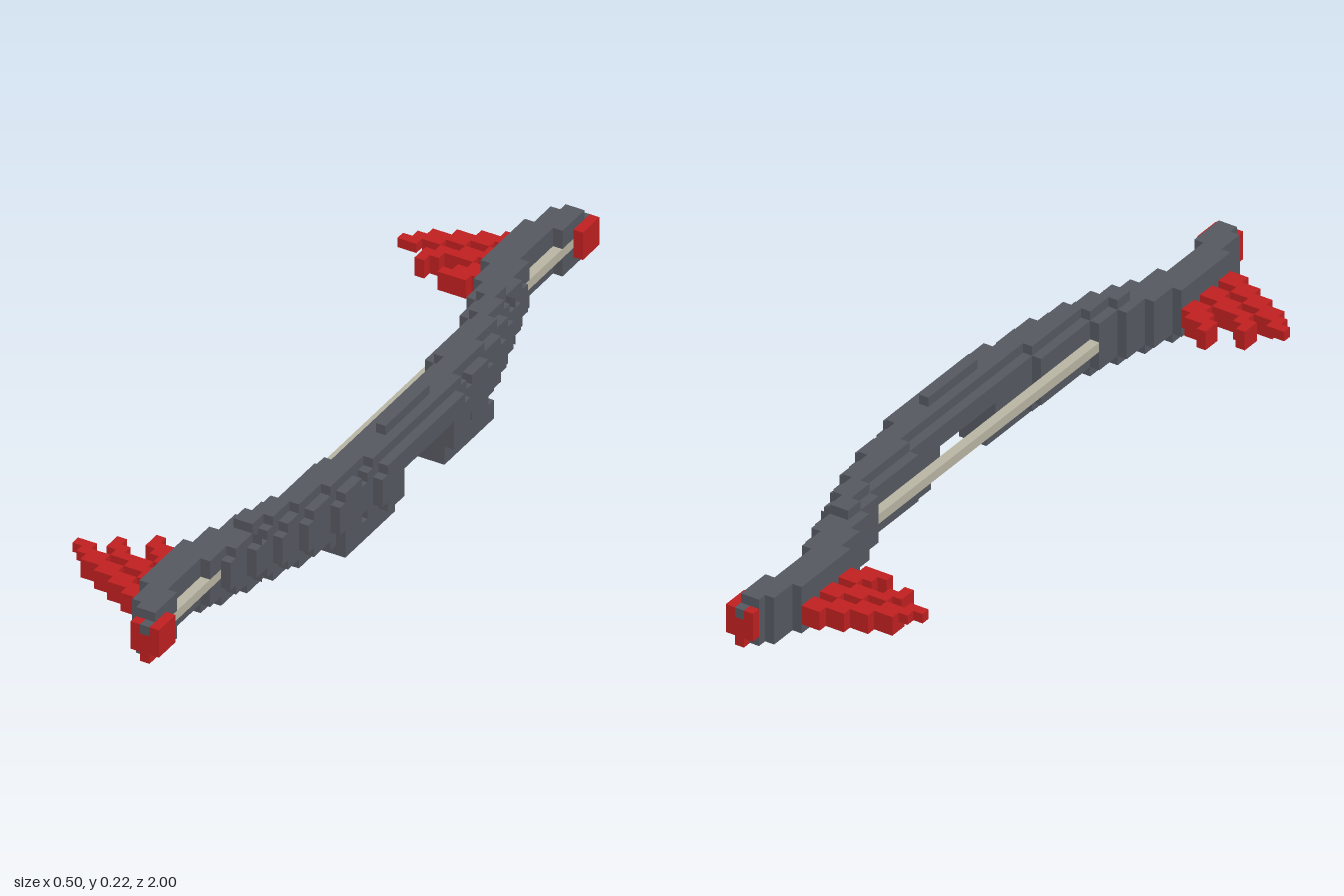
import * as THREE from 'three';
import { mergeGeometries } from 'three/addons/utils/BufferGeometryUtils.js';

const V = 0.025; // voxel size

export function createModel() {
  const group = new THREE.Group();
  const material = (name, color) => {
    const m = new THREE.MeshStandardMaterial({ color });
    m.name = name;
    return m;
  };
  const grey = material('slate grey', 0x555860);
  const red = material('red', 0xc02020);
  const cream = material('string cream', 0xb9b5a3);

  // Box from its limits
  const box = (x0, x1, y0, y1, z0, z1) =>
    new THREE.BoxGeometry(x1 - x0, y1 - y0, Math.abs(z1 - z0))
      .translate((x0 + x1) / 2, (y0 + y1) / 2, (z0 + z1) / 2);
  const add = (name, mat, boxes) => {
    const mesh = new THREE.Mesh(mergeGeometries(boxes), mat);
    mesh.name = name;
    group.add(mesh);
  };

  // Limb slices: distance range along z, inner x, outer x, core bottom, core top
  const slices = [
    [0.125, 0.2, 0.125, 0.25, 0.025, 0.2],
    [0.2, 0.25, 0.125, 0.225, 0.025, 0.2],
    [0.25, 0.35, 0.1, 0.225, 0.025, 0.2],
    [0.35, 0.45, 0.1, 0.2, 0.025, 0.2],
    [0.45, 0.525, 0.075, 0.175, 0.025, 0.2],
    [0.525, 0.575, 0.05, 0.15, 0.025, 0.2],
    [0.575, 0.6, 0.05, 0.15, 0.025, 0.175],
    [0.6, 0.675, 0.025, 0.125, 0.025, 0.175],
    [0.675, 0.725, 0, 0.1, 0.025, 0.175],
    [0.725, 0.825, 0, 0.075, 0.025, 0.175],
    [0.825, 0.875, 0, 0.075, 0.05, 0.175],
    [0.875, 0.95, 0.025, 0.1, 0.05, 0.175],
    [0.95, 0.975, 0.05, 0.1, 0.05, 0.175],
  ];

  // Feather rows: start z, then the voxel span outward from the limb
  const feathers = [
    [0.85, 0, 2], [0.825, 0, 4], [0.8, 2, 6], [0.775, 4, 8], [0.75, 6, 9], [0.725, 8, 10],
    [0.775, 0, 2], [0.75, 0, 4], [0.725, 2, 6], [0.7, 5, 7], [0.675, 6, 7],
    [0.7, 0, 2], [0.675, 0, 3], [0.65, 1, 4],
  ];

  for (const s of [1, -1]) {
    const side = s > 0 ? 'front' : 'back';
    const limb = [], tip = [], wing = [];
    slices.forEach(([a, z1, xi, xo, y0, y1], i) => {
      const z0 = i === 0 && s > 0 ? 0.1 : a;
      const put = (x0, x1, b, t, from = z0, to = z1) => limb.push(box(x0, x1, b, t, s * from, s * to));
      // Full height core, then shallower inner and outer columns
      put(xi + V, xo - V, y0, y1);
      put(xi, xi + V, 0.05, Math.min(y1, 0.175));
      if (a === 0.675 || a === 0.875) {
        // Slot around the string
        put(xo - V, xo, 0.05, 0.1);
        put(xo - V, xo, 0.125, 0.175);
        if (a === 0.875) put(xo - V, xo, 0.1, 0.125, 0.925, z1);
      } else if (xo > 0.12) {
        put(xo - V, xo, 0.05, 0.175, z0, z1 - V);
        if (z1 - V > z0 + 0.001 || i === 6) put(xo - V, xo, 0.075, 0.15, z1 - V, z1);
      } else {
        put(xo - V, xo, 0.05, 0.175);
      }
    });
    // Keel beside the grip opening
    limb.push(box(0.15, 0.225, 0, 0.05, s > 0 ? 0.1 : -0.125, s > 0 ? 0.325 : -0.35));
    // Nock inside the tip notch
    limb.push(box(0.075, 0.1, 0.125, 0.15, s * 0.975, s));
    add(side + 'Limb', grey, limb);

    tip.push(box(0.05, 0.075, 0.075, 0.15, s * 0.975, s));
    tip.push(box(0.075, 0.1, 0.05, 0.125, s * 0.975, s));
    tip.push(box(0.1, 0.125, 0.075, 0.15, s * 0.925, s));
    add(side + 'Tip', red, tip);

    for (const [z, n0, n1] of feathers) {
      wing.push(box(-n1 * V, -n0 * V, 0.1, 0.125, s * z, s * (z + V)));
      const end = Math.min(n1, 8);
      if (end > n0) wing.push(box(-end * V, -n0 * V, 0.075, 0.1, s * z, s * (z + V)));
    }
    if (s > 0) wing.push(box(-0.1, -0.075, 0.075, 0.125, 0.625, 0.65));
    add(side + 'Feathers', red, wing);

    // String running through the limb slot
    add(side + 'StringEnd', cream, [box(0.075, 0.1, 0.1, 0.125, s * 0.675, s * 0.925)]);
  }

  // Grip bridge with a sight ridge on top
  add('grip', grey, [
    box(0.125, 0.15, 0.125, 0.175, -0.125, 0.1),
    box(0.15, 0.225, 0.125, 0.2, -0.125, 0.1),
    box(0.225, 0.25, 0.125, 0.175, -0.125, 0.1),
    box(0.175, 0.2, 0.2, 0.225, -0.1, 0.1),
  ]);
  add('string', cream, [box(0.075, 0.1, 0.1, 0.125, -0.45, 0.45)]);

  return group;
}
